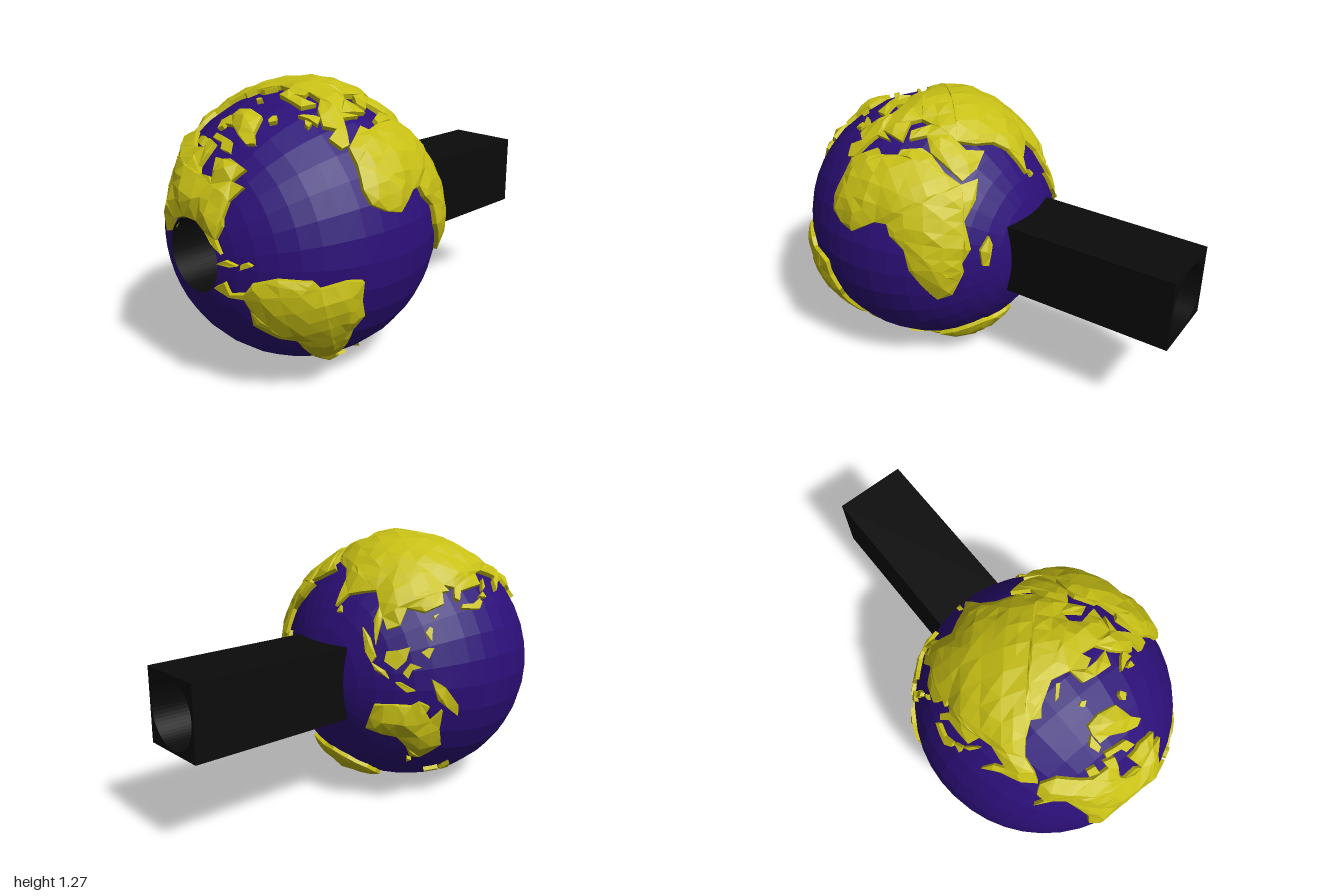
import * as THREE from 'three';

const R = 0.61, BORE = 0.16, CENTRE = new THREE.Vector3(-0.375, 0.637, 0);
const RIM = 0.628, BASE = 0.595, STEP = 0.16;

// Tilted globe axes: longitude 0, longitude 90 east, north pole
const NORTH = new THREE.Vector3(-0.43, 0.88, -0.18).normalize();
const EAST = new THREE.Vector3(0.883, 0.377, -0.265).normalize();
const PRIME = new THREE.Vector3().crossVectors(EAST, NORTH).normalize();

// Coast outlines as longitude, latitude pairs
const LANDS = {
  africa: [-17, 15, -16, 21, -10, 29, -6, 35.5, 10, 37, 11, 33.5, 20, 31, 22, 33, 32, 31, 35, 27, 38, 18, 43, 11.5,
    51, 12, 47, 4, 40, -3, 40, -15, 35, -20, 35, -24, 32, -28, 27, -34, 19, -34.5, 15, -26, 12, -17, 13, -8,
    9, -1, 9, 4, 4, 6, -8, 4.5, -13, 9],
  eurasia: [-9, 37, -9, 43, -1, 43.5, -4, 48, 8, 54, 20, 55, 30, 60, 22, 61, 24, 65.5, 17, 61, 13, 55.5, 5, 60,
    14, 67, 25, 71, 40, 67, 60, 69, 72, 72.5, 88, 75, 104, 77.5, 113, 74, 140, 72.5, 160, 70, 180, 69, 190, 66,
    178, 62, 163, 58, 156, 51, 156, 57, 162, 61, 142, 59, 136, 54.5, 140, 49, 128, 40, 129, 35, 126, 35, 124, 40,
    118, 38.5, 122, 37, 119, 35, 122, 30, 116, 23, 108, 21, 109, 13, 105, 9, 100.5, 13, 103.5, 1.5, 98, 10, 97, 16,
    91, 22, 80, 15, 77.5, 8, 73, 20, 67, 25, 57, 26.5, 49, 30, 51, 25, 59.5, 22.5, 52, 16, 44, 12.7,
    35, 28, 36, 36.5, 27, 37, 29, 41, 41, 41.5, 37, 46, 30, 46, 23, 37, 13, 45.5, 17, 39, 9, 44, 0, 39, -5, 36],
  northAmerica: [-168, 66, -156, 71, -128, 70, -115, 68, -95, 68, -94, 72, -82, 69, -87, 65, -94, 60, -92, 57,
    -82, 55, -80, 51.5, -77, 62, -70, 60, -64, 59, -56, 52, -66, 50, -60, 46, -70, 43, -75, 38, -76, 35, -81, 31,
    -80, 25.5, -82, 28, -83.7, 30, -86, 34.5, -91, 39, -101, 41, -110, 39.5, -116, 34, -118, 33.5, -124, 40,
    -124, 47, -130, 54, -140, 60, -150, 60, -162, 55, -157, 59, -165, 61],
  southAmerica: [-89, 13.5, -83, 15, -83, 10, -77, 9, -72, 12, -62, 10.5, -51, 4, -50, 0, -40, -3, -35, -7, -39, -14,
    -41, -22, -48, -26, -54, -34, -58, -38, -65, -42, -66, -48, -69, -52, -65, -55, -73, -53, -75, -47, -73, -37,
    -70, -19, -76, -14, -81, -5, -78, 2, -78, 7, -84, 9],
  australia: [114, -22, 122, -18, 129, -15, 131, -12, 136, -12, 136, -15, 140, -17.5, 142, -11, 146, -19, 153, -26,
    150, -37, 145, -39, 138, -34, 131, -31.5, 124, -33.5, 115, -34.5],
  antarctica: [-57, -63, -62, -73, -40, -78, -25, -75, -10, -70, 10, -70, 30, -69, 50, -66, 70, -69, 90, -66,
    110, -66, 135, -66, 150, -68, 170, -72, 165, -78, -160, -78, -145, -75, -110, -74, -80, -73, -68, -68],
  greenland: [-73, 78, -60, 82, -30, 83.5, -18, 78, -22, 70, -40, 65, -44, 60, -50, 62, -54, 68, -58, 75],
  baffinIsland: [-65, 62, -73, 65, -72, 68, -88, 72, -84, 74, -75, 72, -62, 67],
  ellesmereIsland: [-88, 76.5, -78, 77, -62, 82.5, -90, 81],
  victoriaIsland: [-117, 70, -105, 69, -105, 73, -118, 73],
  iceland: [-24, 65, -19, 63.3, -14, 65, -16, 66.5, -22, 66.4],
  britain: [-5, 50, 1, 51, 1, 53, -2, 57, -5, 58.5, -4, 54],
  ireland: [-10, 52, -6, 52, -6, 55, -9, 54],
  novayaZemlya: [52, 71, 57, 71, 68, 77, 60, 76],
  svalbard: [14, 77, 22, 78, 24, 80, 12, 79.5],
  sakhalin: [142, 46, 144, 49, 143, 54, 142, 52],
  hokkaido: [140, 42, 145, 43.5, 142, 45.5],
  honshu: [131, 32, 136, 34, 141, 36, 142, 40, 140, 41, 137, 37, 131, 34],
  taiwan: [120, 23, 121, 22, 122, 25],
  luzon: [120, 15, 124, 13, 122, 18, 120.5, 18],
  mindanao: [122, 7, 126, 6, 126, 11, 124, 10],
  borneo: [109, 1, 110, -3, 116, -4, 118, 1, 117, 7, 113, 3.5],
  sumatra: [95, 5.5, 101, -3, 105.5, -6, 106, -3, 100, 3],
  java: [105.5, -6, 108, -8, 115, -8.7, 112, -6.6],
  timor: [118, -9, 124, -10.5, 127, -8.3, 120, -8],
  sulawesi: [119, -4, 122, -5, 122, -1, 125, 1.5, 120, 1],
  newGuinea: [131, -1, 138, -1.7, 147, -6, 150, -10.5, 143, -9, 138, -8, 134, -4],
  tasmania: [145, -41, 148, -41, 147, -43.6],
  northIsland: [173, -35, 178, -38, 175, -41.5, 174, -39],
  southIsland: [172, -40.7, 174, -42, 169, -46.7, 166.5, -46],
  madagascar: [44, -17, 49, -12, 50, -16, 47, -25, 44, -24],
  sriLanka: [80, 9.5, 82, 7, 80, 6],
  cuba: [-83.5, 22.5, -78, 20.3, -74.5, 20, -79, 23],
  hispaniola: [-74, 18.3, -68.5, 18.3, -70, 20, -73, 20],
};

const toDirection = (lon, lat) => {
  const a = THREE.MathUtils.degToRad(lon), b = THREE.MathUtils.degToRad(lat);
  return new THREE.Vector3()
    .addScaledVector(PRIME, Math.cos(b) * Math.cos(a))
    .addScaledVector(EAST, Math.cos(b) * Math.sin(a))
    .addScaledVector(NORTH, Math.sin(b));
};
const midpoint = (a, b) => a.clone().add(b).normalize();

// Raised slab of land: faceted top that swells inland, with a cliff around the coast
function landGeometry(coords) {
  let ring = [];
  for (let i = 0; i < coords.length; i += 2) {
    const j = (i + 2) % coords.length;
    const a = toDirection(coords[i], coords[i + 1]), b = toDirection(coords[j], coords[j + 1]);
    const n = Math.ceil(a.distanceTo(b) / (STEP * 0.9));
    for (let k = 0; k < n; k++) ring.push(a.clone().lerp(b, k / n).normalize());
  }

  // Flatten the outline around its own centre
  const c = ring.reduce((s, v) => s.add(v), new THREE.Vector3()).normalize();
  const u = new THREE.Vector3(0.31, 0.2, 0.93).cross(c).normalize();
  const w = new THREE.Vector3().crossVectors(c, u);
  const flatten = (v) => {
    const k = Math.sqrt(2 / (1 + v.dot(c)));
    return new THREE.Vector2(v.dot(u) * k, v.dot(w) * k);
  };
  if (THREE.ShapeUtils.area(ring.map(flatten)) < 0) ring = ring.reverse();

  const line = new THREE.Line3(), near = new THREE.Vector3();
  const raise = (v) => {
    let d = Infinity;
    ring.forEach((p, i) => {
      line.set(p, ring[(i + 1) % ring.length]).closestPointToPoint(v, true, near);
      d = Math.min(d, near.distanceTo(v));
    });
    const inland = Math.min(1, Math.max(0, d - 0.004) / 0.3);
    const rough = Math.sin(v.x * 31 + v.y * 17) * Math.sin(v.z * 27 - v.y * 11);
    return v.clone().multiplyScalar(RIM + 0.034 * Math.sqrt(inland) + 0.006 * rough * Math.min(1, inland * 4));
  };

  const pos = [];
  const face = (...pts) => pts.forEach((p) => pos.push(p.x, p.y, p.z));
  const split = (a, b, d) => {
    const ab = a.distanceTo(b), bd = b.distanceTo(d), da = d.distanceTo(a), longest = Math.max(ab, bd, da);
    if (longest <= STEP) return face(raise(a), raise(b), raise(d));
    if (longest === bd) return split(b, d, a);
    if (longest === da) return split(d, a, b);
    const m = midpoint(a, b);
    split(a, m, d);
    split(m, b, d);
  };
  for (const [i, j, k] of THREE.ShapeUtils.triangulateShape(ring.map(flatten), [])) split(ring[i], ring[j], ring[k]);

  ring.forEach((a, i) => {
    const b = ring[(i + 1) % ring.length];
    const a0 = a.clone().multiplyScalar(BASE), b0 = b.clone().multiplyScalar(BASE);
    const a1 = raise(a), b1 = raise(b);
    face(a0, b0, b1);
    face(a0, b1, a1);
  });

  const g = new THREE.BufferGeometry();
  g.setAttribute('position', new THREE.Float32BufferAttribute(pos, 3));
  g.computeVertexNormals();
  return g;
}

export function createModel() {
  const model = new THREE.Group();
  model.name = 'globeOnSquareTube';
  const ocean = new THREE.MeshStandardMaterial({ color: 0x2c0f78, flatShading: true });
  const land = new THREE.MeshStandardMaterial({ color: 0xc8c015, flatShading: true });
  const black = new THREE.MeshStandardMaterial({ color: 0x0b0b0b, side: THREE.DoubleSide });
  const add = (parent, name, geometry, material) => {
    const m = new THREE.Mesh(geometry, material);
    m.name = name;
    parent.add(m);
    return m;
  };

  const globe = new THREE.Group();
  globe.name = 'globe';
  globe.position.copy(CENTRE);
  model.add(globe);

  // Ocean ball, open at both ends of the bore
  const open = Math.asin(BORE / R), profile = [];
  for (let i = 0; i <= 18; i++) {
    const t = open + (Math.PI - 2 * open) * (i / 18);
    profile.push(new THREE.Vector2(R * Math.sin(t), -R * Math.cos(t)));
  }
  add(globe, 'ocean', new THREE.LatheGeometry(profile, 32).rotateZ(-Math.PI / 2), ocean);

  // Continents and islands
  for (const [name, coords] of Object.entries(LANDS)) add(globe, name, landGeometry(coords), land);

  // Bore lining through the ball
  const half = R * Math.cos(open);
  add(globe, 'boreLining', new THREE.CylinderGeometry(BORE, BORE, 2 * half, 32, 1, true).rotateZ(Math.PI / 2), black);

  // Square handle with a round bore
  const s = 0.173, start = 0.16;
  const section = new THREE.Shape([[-s, -s], [s, -s], [s, s], [-s, s]].map(([x, y]) => new THREE.Vector2(x, y)));
  section.holes.push(new THREE.Path().absarc(0, 0, BORE, 0, Math.PI * 2, true));
  const handle = new THREE.ExtrudeGeometry(section, { depth: 1 - start, bevelEnabled: false, curveSegments: 32 });
  add(model, 'handle', handle.rotateY(Math.PI / 2), black).position.set(start, CENTRE.y, 0);
  return model;
}
